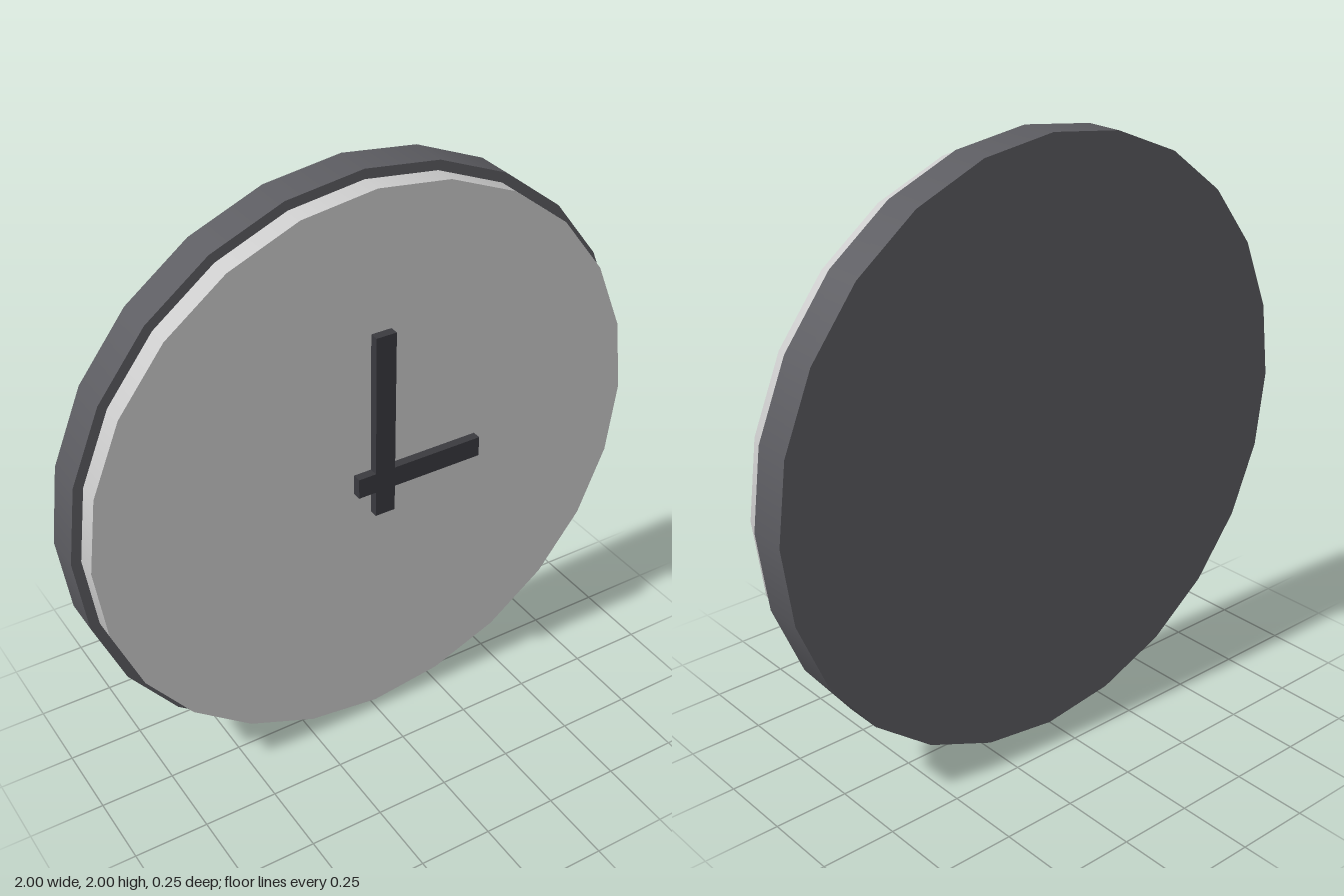
import * as THREE from 'three';

const SIDES = 24;

function material(color) {
  return new THREE.MeshStandardMaterial({ color });
}

function add(group, name, geometry, mat, x, y, z) {
  const mesh = new THREE.Mesh(geometry, mat);
  mesh.name = name;
  mesh.position.set(x, y, z);
  group.add(mesh);
}

// Upright disc facing +z, spanning zBack to zFront
function addDisc(group, name, radius, zBack, zFront, mat) {
  const geometry = new THREE.CylinderGeometry(radius, radius, zFront - zBack, SIDES);
  geometry.rotateX(Math.PI / 2);
  add(group, name, geometry, mat, 0, 1, (zBack + zFront) / 2);
}

export function createModel() {
  const group = new THREE.Group();
  group.name = 'wallClock';

  // Dark casing with the pale dial standing proud of it
  addDisc(group, 'casing', 1, -0.125, 0.002, material(0x5c5c61));
  addDisc(group, 'dial', 0.968, -0.06, 0.073, material(0xcccccc));

  // Hands at three o'clock, floating just in front of the dial
  const handMat = material(0x3a3a3f);
  const width = 0.07, depth = 0.03, z = 0.11;
  add(group, 'minuteHand', new THREE.BoxGeometry(width, 0.645, depth), handMat, 0, 1.197, z);
  add(group, 'hourHand', new THREE.BoxGeometry(0.45, width, depth), handMat, 0.129, 1, z);

  return group;
}
